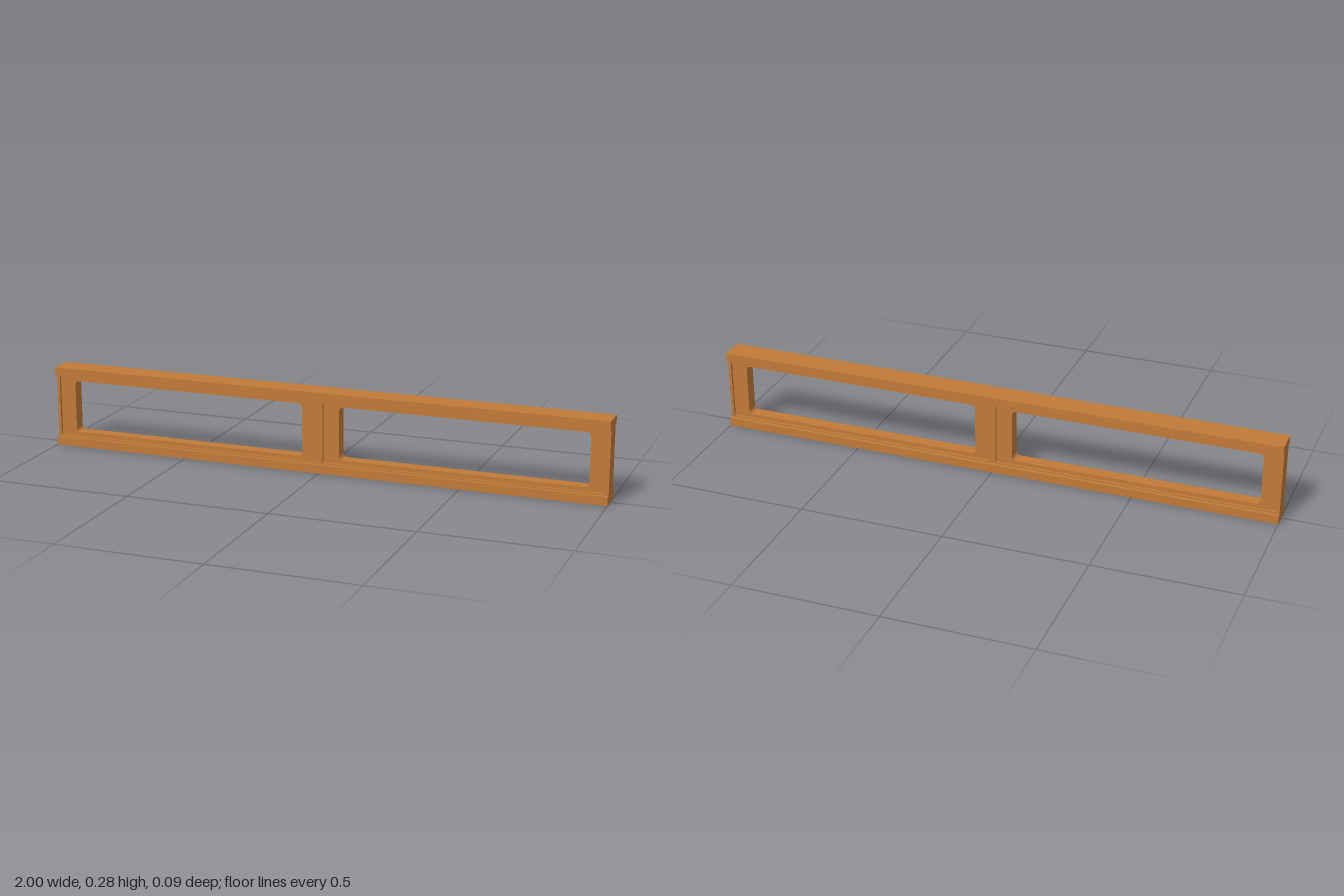
import * as THREE from 'three';

const HEIGHT = 0.285, RAIL = 0.03;
const wood = new THREE.MeshStandardMaterial({ color: 0xc17a38 });

// Rectangle outline with optional rounded corners
function rect(path, x0, y0, x1, y1, r = 0) {
  if (!r) {
    path.moveTo(x0, y0).lineTo(x1, y0).lineTo(x1, y1).lineTo(x0, y1).closePath();
    return path;
  }
  path.absarc(x1 - r, y0 + r, r, -Math.PI / 2, 0);
  path.absarc(x1 - r, y1 - r, r, 0, Math.PI / 2);
  path.absarc(x0 + r, y1 - r, r, Math.PI / 2, Math.PI);
  path.absarc(x0 + r, y0 + r, r, Math.PI, Math.PI * 1.5);
  path.closePath();
  return path;
}

// Flat part centred on z = 0
function plate(name, shape, depth) {
  const geo = new THREE.ExtrudeGeometry(shape, { depth, bevelEnabled: false, curveSegments: 6 });
  geo.translate(0, 0, -depth / 2);
  const mesh = new THREE.Mesh(geo, wood);
  mesh.name = name;
  return mesh;
}

export function createModel() {
  const group = new THREE.Group();
  group.name = 'windowFrame';

  // Wide rails along the top and bottom
  for (const [name, y] of [['bottomRail', RAIL / 2], ['topRail', HEIGHT - RAIL / 2]]) {
    const rail = new THREE.Mesh(new THREE.BoxGeometry(2, RAIL, 0.088), wood);
    rail.name = name;
    rail.position.y = y;
    group.add(rail);
  }

  // Thin surround with end posts and a centre post
  const low = RAIL + 0.005, high = HEIGHT - RAIL - 0.005;
  const surround = rect(new THREE.Shape(), -1, RAIL, 1, HEIGHT - RAIL);
  for (const s of [-1, 1]) {
    surround.holes.push(rect(new THREE.Path(), s * 0.5 - 0.49, low, s * 0.5 + 0.49, high));
  }
  group.add(plate('surround', surround, 0.062));

  // Two recessed sashes with round-cornered openings
  for (const [name, x] of [['rightSash', -0.5], ['leftSash', 0.5]]) {
    const sash = rect(new THREE.Shape(), -0.49, low, 0.49, high);
    sash.holes.push(rect(new THREE.Path(), -0.433, 0.049, 0.433, 0.236, 0.015));
    const mesh = plate(name, sash, 0.044);
    mesh.position.x = x;
    group.add(mesh);
  }
  return group;
}
